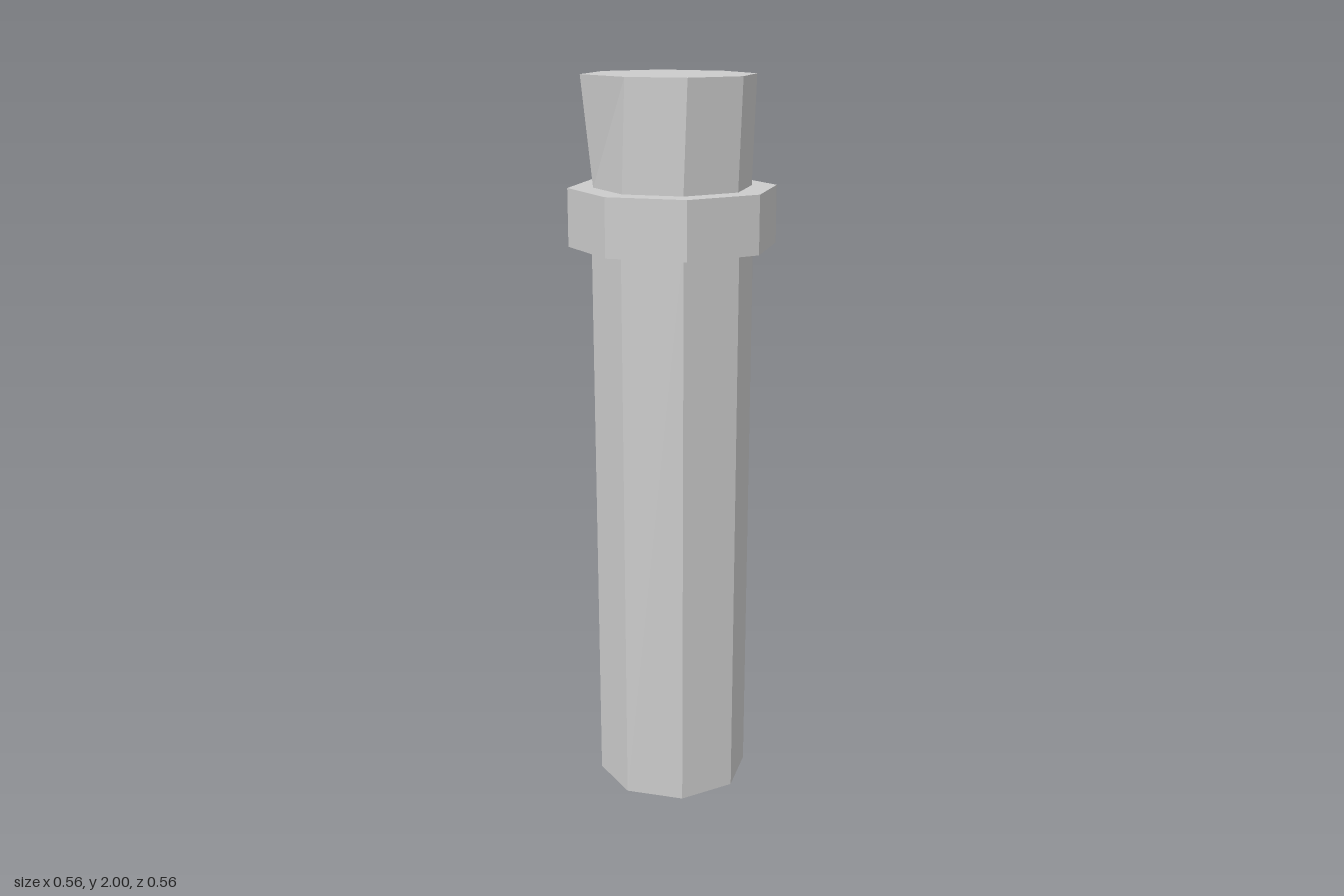
import * as THREE from 'three';

export function createModel() {
  const group = new THREE.Group();
  const material = new THREE.MeshStandardMaterial({ color: 0xcccccc, flatShading: true });

  // Eight-sided prism standing between two heights
  const addPrism = (name, rTop, rBottom, y0, y1) => {
    const geometry = new THREE.CylinderGeometry(rTop, rBottom, y1 - y0, 8);
    geometry.translate(0, (y0 + y1) / 2, 0);
    const mesh = new THREE.Mesh(geometry, material);
    mesh.name = name;
    group.add(mesh);
    return mesh;
  };

  addPrism('shaft', 0.218, 0.213, 0, 1.6);
  addPrism('collar', 0.28, 0.28, 1.555, 1.71);
  const head = addPrism('head', 0.212, 0.212, 1.71, 2);

  // Head rim: the back corners flare outward, the others shift forward a little
  const p = head.geometry.attributes.position;
  for (let i = 0; i < p.count; i++) {
    if (p.getY(i) < 1.9) continue;
    const x = p.getX(i), z = p.getZ(i);
    if (z < -0.05) {
      p.setX(i, x * 1.14);
      p.setZ(i, z * 1.14);
    } else {
      p.setZ(i, z + 0.012);
    }
  }
  head.geometry.computeVertexNormals();

  return group;
}
